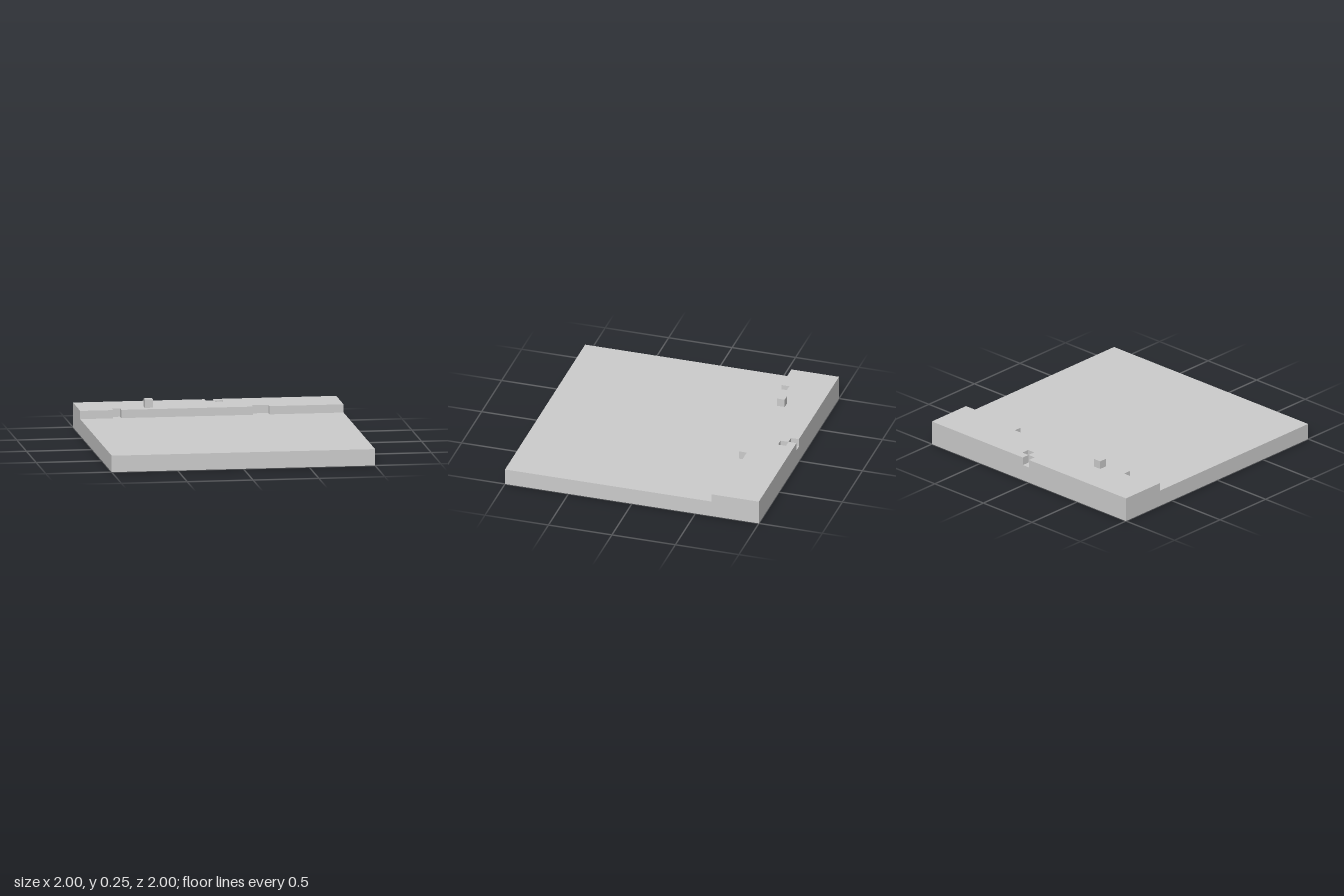
import * as THREE from 'three';

const CELL = 1 / 16; // everything sits on a 32 x 32 block grid
const material = new THREE.MeshStandardMaterial({ color: 0xcccccc, flatShading: true });

// Box given by its lowest corner and size, in cells
function block(name, [x, y, z], [w, h, d]) {
  const geometry = new THREE.BoxGeometry(w, h, d)
    .translate(x + w / 2, y + h / 2, z + d / 2)
    .scale(CELL, CELL, CELL);
  const mesh = new THREE.Mesh(geometry, material);
  mesh.name = name;
  return mesh;
}

// Plan outline of [x, z] corners, in cells, raised from bottom to top
function slab(name, corners, bottom, top) {
  const shape = new THREE.Shape(corners.map(([x, z]) => new THREE.Vector2(x, z)));
  const geometry = new THREE.ExtrudeGeometry(shape, { depth: top - bottom, bevelEnabled: false })
    .rotateX(Math.PI / 2)
    .translate(0, top, 0)
    .scale(CELL, CELL, CELL);
  const mesh = new THREE.Mesh(geometry, material);
  mesh.name = name;
  return mesh;
}

export function createModel() {
  const group = new THREE.Group();
  group.name = 'steppedGround';

  // Flat ground
  group.add(block('ground', [-16, 0, -16], [32, 2, 32]));

  // Raised strip at the back, split where the rear notch and the pit meet corner to corner
  group.add(slab('ledgeRight', [
    [-16, -16], [0, -16], [0, -15], [1, -15], [1, -10], // rear notch
    [-11, -10], [-11, -11], [-12, -11], [-12, -10], // narrow front notch
    [-16, -10],
  ], 2, 3));
  group.add(slab('ledgeLeft', [
    [1, -16], [16, -16], [16, -10],
    [7, -10], [7, -11], [5, -11], [5, -10], // wide front notch
    [1, -10], [1, -14], [2, -14], [2, -15], [1, -15], // pit
  ], 2, 3));

  // Single cube standing on the ledge
  group.add(block('looseCube', [-8, 3, -12], [1, 1, 1]));

  return group;
}
